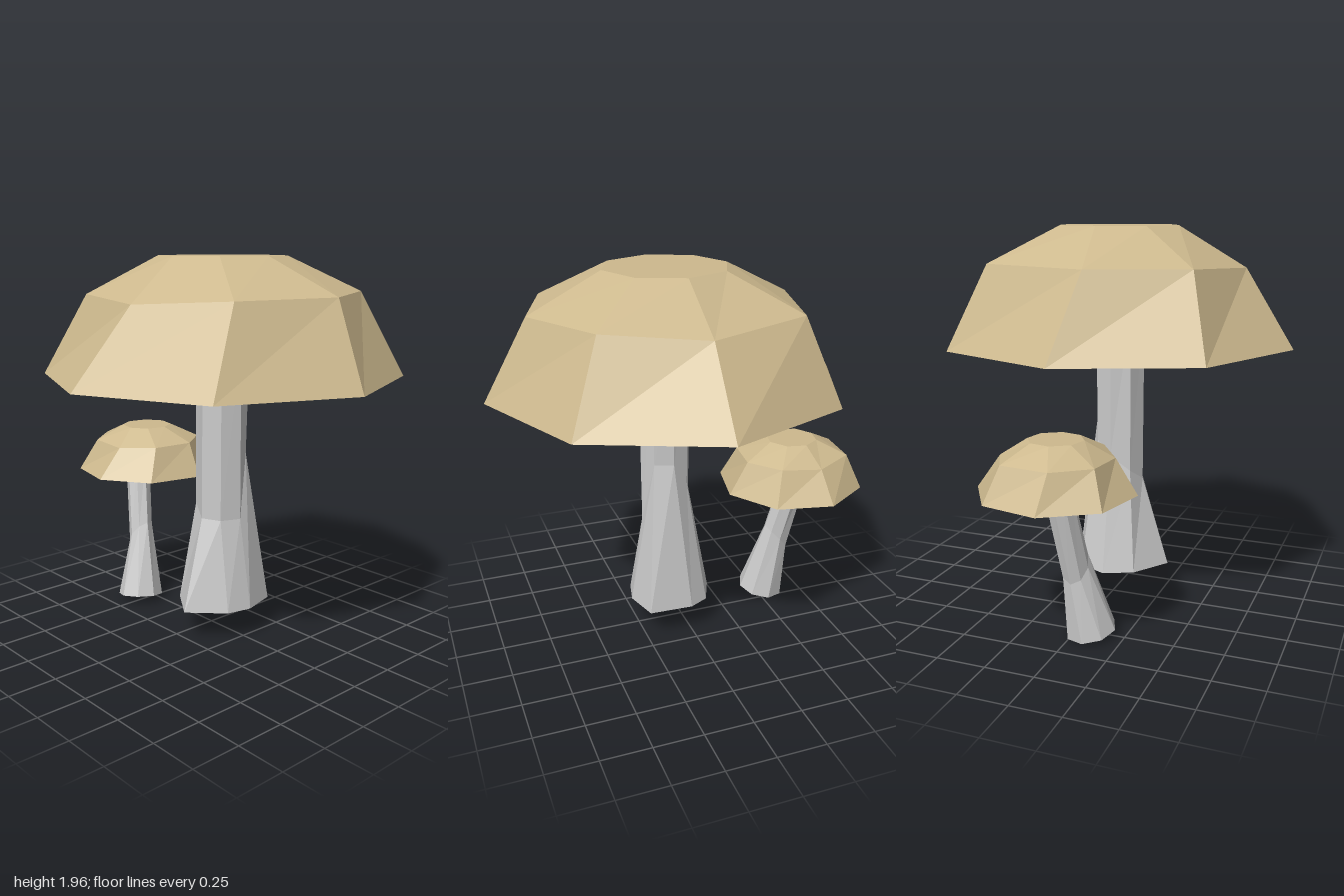
import * as THREE from 'three';

const SIDES = 8;
const capMat = new THREE.MeshStandardMaterial({ color: 0xcdb98e, flatShading: true, side: THREE.DoubleSide });
const stemMat = new THREE.MeshStandardMaterial({ color: 0xcccccc, flatShading: true, side: THREE.DoubleSide });

// Regular ring of corners; tilt maps offsets (dx, dz) to a height change.
function ring(cx, y, cz, r, turn = 0, tilt = () => 0) {
  return Array.from({ length: SIDES }, (_, i) => {
    const a = (i / SIDES) * Math.PI * 2 + turn;
    const dx = Math.cos(a) * r, dz = Math.sin(a) * r;
    return [cx + dx, y + tilt(dx, dz), cz + dz];
  });
}

// Skin between rings listed from bottom to top, with an optional flat top.
function loft(name, rings, material, closeTop) {
  const index = [];
  for (let k = 0; k < rings.length - 1; k++) {
    for (let i = 0; i < SIDES; i++) {
      const j = (i + 1) % SIDES, lo = k * SIDES, hi = lo + SIDES;
      index.push(lo + i, hi + i, lo + j, lo + j, hi + i, hi + j);
    }
  }
  if (closeTop) {
    const t = (rings.length - 1) * SIDES;
    for (let i = 1; i < SIDES - 1; i++) index.push(t, t + i + 1, t + i);
  }
  const geo = new THREE.BufferGeometry();
  geo.setAttribute('position', new THREE.Float32BufferAttribute(rings.flat(2), 3));
  geo.setIndex(index);
  const flat = geo.toNonIndexed();
  flat.computeVertexNormals();
  const mesh = new THREE.Mesh(flat, material);
  mesh.name = name;
  return mesh;
}

// Hollow cap: regular rim and crown, uneven shoulder between them.
function makeCap(name) {
  const shoulder = [
    [0.64, 0.385, 0], [0.49, 0.42, 0.48], [0.06, 0.415, 0.7], [-0.43, 0.41, 0.54],
    [-0.645, 0.385, 0.1], [-0.52, 0.405, -0.43], [-0.08, 0.41, -0.68], [0.48, 0.415, -0.52],
  ];
  return loft(name, [ring(0, 0, 0, 0.912), shoulder, ring(0, 0.592, 0, 0.32)], capMat, true);
}

export function createModel() {
  const model = new THREE.Group();
  model.name = 'mushrooms';

  // Large mushroom
  const large = new THREE.Group();
  large.name = 'largeMushroom';
  const largeCap = makeCap('largeCap');
  largeCap.position.set(0, 1.375, 0.08);
  const foot = [
    [0.2, 0.165, 0.01], [0.19, 0.165, 0.24], [0.01, 0.165, 0.29], [-0.12, 0.165, 0.26],
    [-0.28, 0.165, 0.1], [-0.15, 0.165, -0.09], [0, 0.165, -0.155], [0.15, 0.165, -0.09],
  ];
  const waist = [
    [0.115, 0.97, 0.08], [0.08, 0.97, 0.175], [0, 0.64, 0.22], [-0.1, 0.64, 0.18],
    [-0.14, 0.64, 0.08], [-0.1, 0.7, -0.01], [0, 0.78, -0.04], [0.085, 0.85, 0],
  ];
  large.add(largeCap, loft('largeStem', [foot, waist, ring(-0.005, 1.54, 0.09, 0.135)], stemMat, false));

  // Small mushroom, leaning backwards
  const small = new THREE.Group();
  small.name = 'smallMushroom';
  const smallCap = makeCap('smallCap');
  smallCap.scale.setScalar(0.425);
  smallCap.rotation.y = THREE.MathUtils.degToRad(10);
  smallCap.position.set(0.05, 0.755, -0.615);
  const stemRings = [
    ring(-0.085, 0.03, -0.525, 0.125, 0, (dx, dz) => -0.14 * dx + 0.16 * dz),
    ring(-0.03, 0.38, -0.585, 0.065, 0, (dx, dz) => 1.1 * dz),
    ring(0.02, 0.77, -0.665, 0.068, 0, (dx, dz) => -0.1 * dx + 0.2 * dz),
  ];
  small.add(smallCap, loft('smallStem', stemRings, stemMat, false));

  model.add(large, small);
  return model;
}
